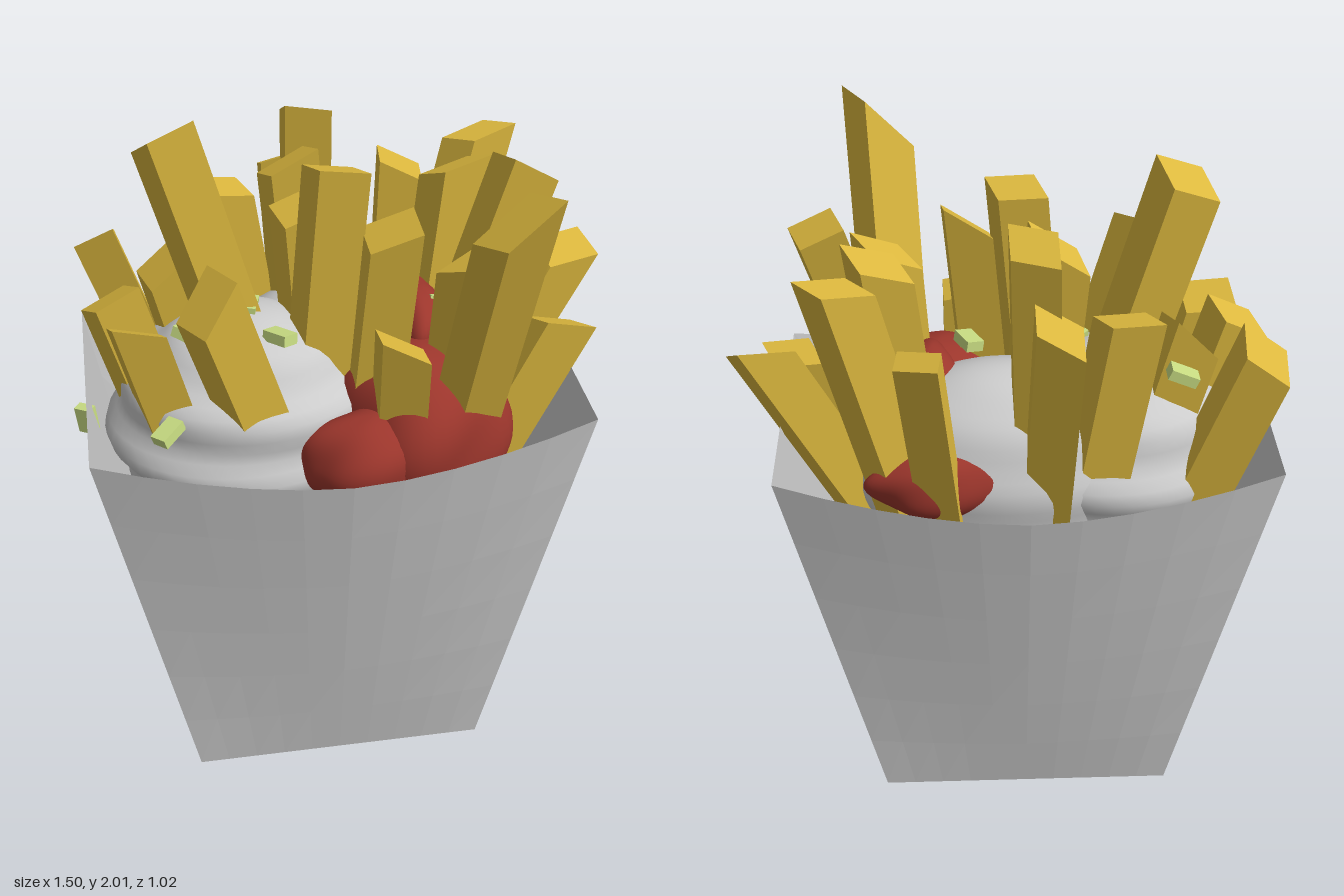
import * as THREE from 'three';
import { mergeVertices } from 'three/addons/utils/BufferGeometryUtils.js';

const mat = (color, opts = {}) => new THREE.MeshStandardMaterial({ color, ...opts });
const V = (x, y, z) => new THREE.Vector3(x, y, z);

// Tapered carton: straight base, bowed and dipped front and back rims
function carton() {
  const N = 10, ROWS = 6, bottom = [], top = [];
  for (const s of [1, -1]) {
    for (let i = 0; i <= N; i++) {
      const t = i / N, u = s > 0 ? t : 1 - t;
      const bow = 1 - Math.abs(2 * u - 1) ** 1.7;
      bottom.push(V(-0.48 + 0.87 * u, 0, s > 0 ? 0.23 : -0.27));
      top.push(V(-0.71 + 1.34 * u, 1.27 - 0.08 * bow, -0.025 + s * (0.385 + 0.09 * bow)));
    }
  }
  const pos = [];
  const tri = (...p) => p.forEach(v => pos.push(v.x, v.y, v.z));
  const at = (i, r) => bottom[i].clone().lerp(top[i], r / ROWS);
  for (let i = 0; i < bottom.length; i++) {
    const j = (i + 1) % bottom.length;
    for (let r = 0; r < ROWS; r++) {
      tri(at(i, r), at(j, r), at(j, r + 1));
      tri(at(i, r), at(j, r + 1), at(i, r + 1));
    }
  }
  const n = N + 1;
  tri(bottom[0], bottom[n], bottom[N]);
  tri(bottom[0], bottom[2 * n - 1], bottom[n]);
  const g = new THREE.BufferGeometry();
  g.setAttribute('position', new THREE.Float32BufferAttribute(pos, 3));
  g.computeVertexNormals();
  const mesh = new THREE.Mesh(g, mat(0xcccccc, { side: THREE.DoubleSide }));
  mesh.name = 'carton';
  return mesh;
}

// Soft sauce dollop: an ellipsoid whose radius follows a rule of angle and height
function dollop(name, material, center, radii, rule) {
  let g = new THREE.SphereGeometry(1, 48, 32);
  g.deleteAttribute('uv');
  g.deleteAttribute('normal');
  g = mergeVertices(g, 1e-4);
  const p = g.attributes.position, v = V(0, 0, 0);
  for (let i = 0; i < p.count; i++) {
    v.fromBufferAttribute(p, i);
    v.multiplyScalar(rule(Math.atan2(v.z, v.x), Math.acos(THREE.MathUtils.clamp(v.y, -1, 1))));
    p.setXYZ(i, v.x * radii[0], v.y * radii[1], v.z * radii[2]);
  }
  g.computeVertexNormals();
  const mesh = new THREE.Mesh(g, material);
  mesh.name = name;
  mesh.position.set(...center);
  return mesh;
}

// Fry: a skewed bar with a slanted cut end, its base gathered towards the middle
function fry([tx, ty, tz, bx, cut, yaw], i, material) {
  const tip = V(tx, ty, tz);
  const base = V(bx, ty - 0.82, THREE.MathUtils.clamp(0.85 * tz, -0.28, 0.15));
  const dir = tip.clone().sub(base), len = dir.length();
  const g = new THREE.BoxGeometry(0.13, len, 0.09);
  const p = g.attributes.position;
  const side = [0.5, -0.3, 0.3][i % 3];
  for (let k = 0; k < p.count; k++) {
    if (p.getY(k) > 0) p.setY(k, p.getY(k) + cut * p.getX(k) + side * p.getZ(k));
    p.setX(k, p.getX(k) + 0.45 * p.getZ(k));
  }
  g.rotateY(yaw);
  g.computeVertexNormals();
  const mesh = new THREE.Mesh(g, material);
  mesh.name = 'fry';
  mesh.position.copy(tip).add(base).multiplyScalar(0.5);
  mesh.quaternion.setFromUnitVectors(V(0, 1, 0), dir.normalize());
  return mesh;
}

export function createModel() {
  const model = new THREE.Group();
  model.name = 'friesInCarton';
  model.add(carton());

  // White sauce with swirled ridges
  const white = mat(0xcccccc);
  const swirl = depth => (a, h) => 1 + depth * Math.sin(h * 11 + a) * Math.sin(h) ** 2;
  const sauce = new THREE.Group();
  sauce.name = 'whiteSauce';
  sauce.add(
    dollop('sauceMound', white, [0.02, 1.14, -0.15], [0.40, 0.32, 0.24], swirl(0.02)),
    dollop('sauceSwirl', white, [-0.27, 1.11, -0.05], [0.38, 0.34, 0.31], swirl(0.05)),
  );
  model.add(sauce);

  // Red sauce running over the right half
  const red = mat(0x9c362c);
  const lumpy = (a, h) =>
    1 + (0.07 * Math.sin(4 * a + 0.6) + 0.05 * Math.cos(3 * a - 4 * h)) * Math.sin(h) ** 2;
  const ketchup = new THREE.Group();
  ketchup.name = 'redSauce';
  ketchup.add(
    dollop('redPool', red, [0.20, 1.13, 0.10], [0.24, 0.26, 0.23], lumpy),
    dollop('redFrontDrip', red, [0.05, 1.12, 0.23], [0.2, 0.14, 0.13], lumpy),
    dollop('redBackStreak', red, [0.18, 1.2, -0.33], [0.2, 0.1, 0.07], lumpy),
    dollop('redTop', red, [0.22, 1.37, -0.08], [0.08, 0.1, 0.15], lumpy),
  );
  model.add(ketchup);

  // Fries: tip x, y, z, base x, end slope, yaw
  const gold = mat(0xdcb83e, { flatShading: true });
  const fries = new THREE.Group();
  fries.name = 'fries';
  [
    [-0.65, 1.57, -0.30, -0.38, 0.2, -0.3], [-0.29, 1.69, -0.32, -0.18, -0.2, 0],
    [-0.12, 1.82, -0.18, -0.06, 0.5, -0.1], [-0.45, 1.96, -0.08, -0.23, 0.1, 0.15],
    [-0.47, 1.55, -0.16, -0.28, 0.6, -0.1], [-0.62, 1.53, -0.03, -0.40, 0.2, 0.1],
    [-0.56, 1.51, 0.12, -0.36, -0.4, -0.15], [-0.38, 1.64, 0.22, -0.14, 0.9, 0.25],
    [-0.11, 1.72, -0.42, -0.08, 0.3, -0.4], [-0.05, 1.90, -0.32, -0.07, 0, -0.4],
    [0.24, 1.66, -0.45, 0.17, -0.3, -0.5], [0.44, 1.80, -0.33, 0.25, 0.4, 0.4],
    [0.34, 1.78, -0.17, 0.25, 0.4, 0.1], [0.66, 1.51, -0.15, 0.24, 0.6, 0.25],
    [0.50, 1.82, -0.05, 0.25, -0.2, -0.1], [0.60, 1.39, 0.05, 0.22, 0.3, -0.1],
    [0.11, 1.75, 0.12, 0.04, 0.6, -0.3], [0.12, 1.48, 0.25, 0.12, -0.3, -0.4],
    [0.35, 1.92, 0.44, 0.31, 1.0, 0.3], [-0.10, 1.74, -0.07, -0.05, 0.4, -0.1],
    [-0.02, 1.89, 0.03, -0.09, 0, -0.1], [0.33, 1.66, 0.13, 0.28, 0.5, 0.3],
  ].forEach((f, i) => fries.add(fry(f, i, gold)));
  model.add(fries);

  // Chopped green garnish
  const green = mat(0xc8dc82, { flatShading: true });
  const garnish = new THREE.Group();
  garnish.name = 'garnish';
  [
    [-0.45, 1.47, -0.23], [-0.25, 1.45, -0.07], [-0.42, 1.43, 0.02], [-0.50, 1.25, 0.21],
    [0.11, 1.45, 0.0], [0.28, 1.43, -0.05], [0.26, 1.42, -0.22], [0.37, 1.38, -0.19],
    [-0.715, 1.16, -0.02], [-0.18, 1.43, 0.07],
  ].forEach((c, i) => {
    const bit = new THREE.Mesh(new THREE.BoxGeometry(0.08, 0.03, 0.05), green);
    bit.name = 'greenBit';
    bit.position.set(...c);
    bit.rotation.set(0.4 * Math.sin(i * 2), i * 1.3, i === 8 ? 1.4 : 0.4 * Math.cos(i * 3));
    garnish.add(bit);
  });
  model.add(garnish);
  return model;
}
